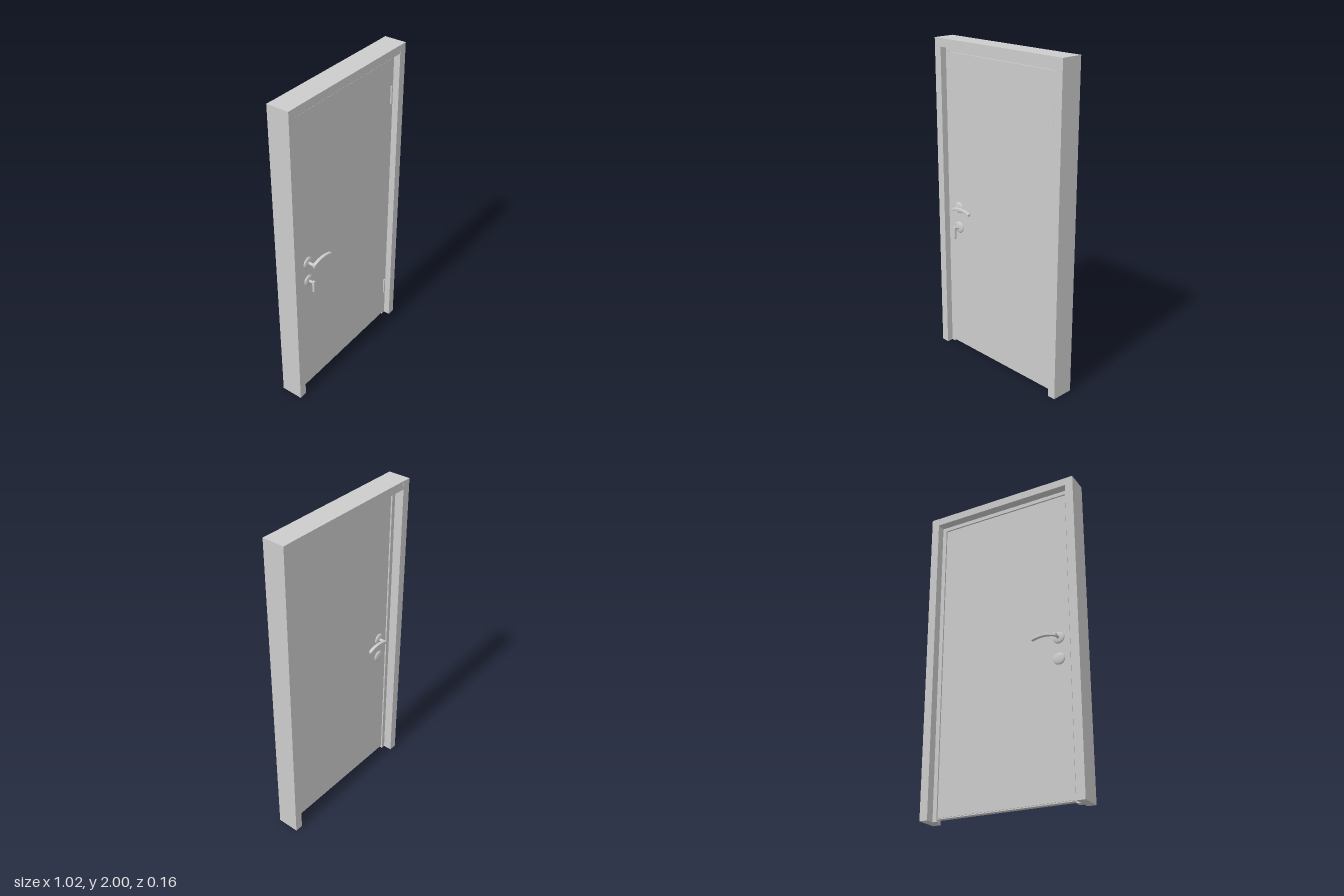
import * as THREE from 'three';
import { RoundedBoxGeometry } from 'three/addons/geometries/RoundedBoxGeometry.js';

const material = new THREE.MeshStandardMaterial({ color: 0xcccccc });

function add(parent, name, geometry, x = 0, y = 0, z = 0) {
  const mesh = new THREE.Mesh(geometry, material);
  mesh.name = name;
  mesh.position.set(x, y, z);
  parent.add(mesh);
  return mesh;
}

// Box given by its lower and upper bounds
function addBox(parent, name, [x0, x1], [y0, y1], [z0, z1]) {
  return add(parent, name, new THREE.BoxGeometry(x1 - x0, y1 - y0, z1 - z0),
    (x0 + x1) / 2, (y0 + y1) / 2, (z0 + z1) / 2);
}

// Round plate with a slightly domed face, standing on the door and facing +z
function rosetteGeometry(radius) {
  const profile = [[0, 0.012], [0.4, 0.0115], [0.75, 0.0095], [0.93, 0.0065], [1, 0.003], [1, 0]]
    .map(([r, h]) => new THREE.Vector2(r * radius, h)).reverse();
  return new THREE.LatheGeometry(profile, 32).rotateX(Math.PI / 2);
}

// Arched lever bar, lying in the xy plane with its pivot near the origin
function leverGeometry() {
  const shape = new THREE.Shape();
  shape.moveTo(-0.006, -0.009);
  shape.quadraticCurveTo(0.07, 0.022, 0.144, -0.005);
  shape.lineTo(0.145, 0.004);
  shape.quadraticCurveTo(0.07, 0.034, -0.006, 0.003);
  shape.closePath();
  return new THREE.ExtrudeGeometry(shape, {
    depth: 0.014, bevelEnabled: true, bevelThickness: 0.003, bevelSize: 0.003,
    bevelSegments: 3, curveSegments: 14,
  });
}

// Rosette, neck and lever; z = 0 is the door face
function createHandle(name) {
  const handle = new THREE.Group();
  handle.name = name;
  add(handle, 'handleRosette', rosetteGeometry(0.036));
  add(handle, 'handleNeck', new THREE.CylinderGeometry(0.009, 0.009, 0.04, 20).rotateX(Math.PI / 2), 0, 0, 0.025);
  add(handle, 'lever', leverGeometry(), 0, 0, 0.042);
  return handle;
}

export function createModel() {
  const model = new THREE.Group();
  model.name = 'door';
  const front = 0.056, back = -0.083;
  const leafFront = 0.02, leafBack = -0.022;

  // Frame: jambs, stops and seals mirrored on both sides
  const frame = new THREE.Group();
  frame.name = 'frame';
  model.add(frame);
  for (const s of [-1, 1]) {
    const span = (a, b) => (s > 0 ? [a, b] : [-b, -a]);
    addBox(frame, 'jamb', span(0.457, 0.508), [0, 2], [back, front]);
    addBox(frame, 'jambStop', span(0.431, 0.457), [0, 1.95], [-0.028, 0.016]);
    addBox(frame, 'jambSeal', span(0.427, 0.431), [0.016, 1.922], [-0.018, 0.01]);
  }
  addBox(frame, 'header', [-0.457, 0.457], [1.95, 2], [back + 0.001, front - 0.001]);
  addBox(frame, 'headerStop', [-0.431, 0.431], [1.925, 1.95], [-0.028, 0.016]);
  addBox(frame, 'headerSeal', [-0.427, 0.427], [1.92, 1.925], [-0.018, 0.01]);

  // Door leaf with a sweep strip underneath
  addBox(model, 'leaf', [-0.427, 0.427], [0.02, 1.92], [leafBack, leafFront]);
  addBox(model, 'bottomSweep', [-0.427, 0.427], [0.014, 0.02], [-0.018, 0.016]);

  // Hinges
  for (const y of [0.255, 1.695]) {
    add(model, 'hinge', new THREE.CylinderGeometry(0.006, 0.006, 0.11, 16), 0.432, y, leafFront + 0.003);
  }

  // Handles on both faces
  const handleX = -0.357, handleY = 0.966, lockY = 0.835;
  const frontHandle = createHandle('frontHandle');
  frontHandle.position.set(handleX, handleY, leafFront);
  model.add(frontHandle);
  const backHandle = createHandle('backHandle');
  backHandle.position.set(handleX, handleY, leafBack);
  // Lever parts are mirrored through the leaf by turning about the x axis and flipping the arch back
  backHandle.rotation.y = Math.PI;
  const backLever = backHandle.getObjectByName('lever');
  backLever.rotation.y = Math.PI;
  backLever.position.z = 0.056;
  model.add(backHandle);

  // Lock: plate and thumb turn in front, plain plate behind
  const lock = new THREE.Group();
  lock.name = 'frontLock';
  lock.position.set(handleX, lockY, leafFront);
  model.add(lock);
  add(lock, 'lockRosette', rosetteGeometry(0.036));
  add(lock, 'thumbTurnNeck', new THREE.CylinderGeometry(0.008, 0.008, 0.03, 20).rotateX(Math.PI / 2), 0, 0, 0.022);
  add(lock, 'thumbTurn', new RoundedBoxGeometry(0.017, 0.08, 0.016, 3, 0.005), 0, -0.027, 0.041);
  add(model, 'backLockRosette', rosetteGeometry(0.036), handleX, lockY, leafBack).rotation.y = Math.PI;

  return model;
}
